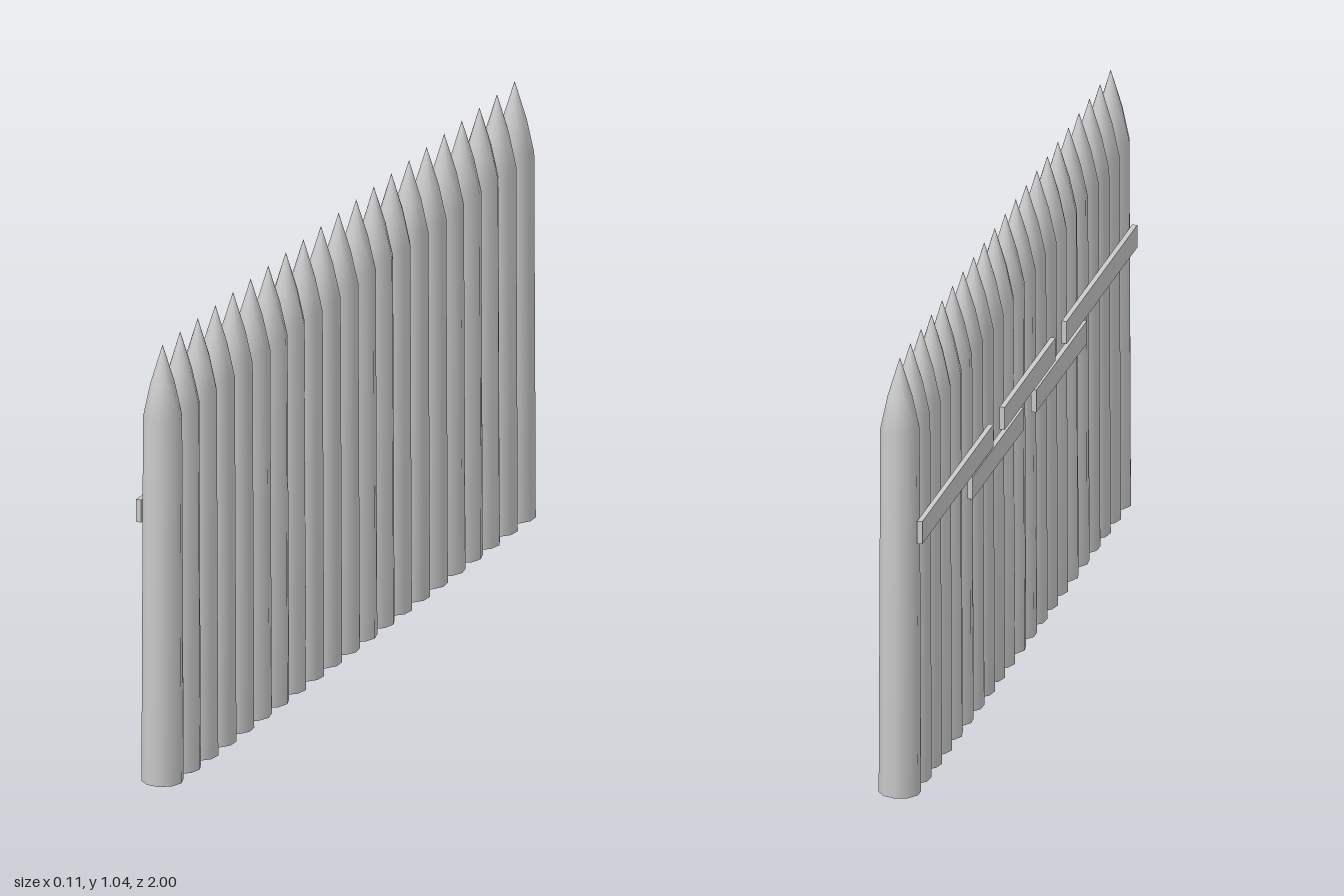
import * as THREE from 'three';

export function createModel() {
  const group = new THREE.Group();
  group.name = 'palisade';
  const material = new THREE.MeshStandardMaterial({ color: 0xcccccc });

  // Sharpened log: closed base, slight taper, gently convex point
  const profile = [
    [0, 0], [0.048, 0], [0.0445, 0.875], [0.0275, 0.955], [0, 1.045],
  ].map(([r, y]) => new THREE.Vector2(r, y));
  const stakeGeometry = new THREE.LatheGeometry(profile, 10);

  // Row of stakes, each turned a little differently
  const count = 21;
  const reach = 0.952;
  for (let i = 0; i < count; i++) {
    const stake = new THREE.Mesh(stakeGeometry, material);
    stake.name = `stake${i + 1}`;
    stake.position.set(0.003, 0, -reach + (2 * reach * i) / (count - 1));
    stake.rotation.y = i * 2.4;
    group.add(stake);
  }

  // Overlapping rails along the back: [start z, end z, centre y]
  const rails = [
    [-0.975, -0.33, 0.636],
    [-0.52, -0.06, 0.578],
    [-0.23, 0.23, 0.64],
    [0.055, 0.515, 0.578],
    [0.33, 0.968, 0.643],
  ];
  rails.forEach(([z0, z1, y], i) => {
    const rail = new THREE.Mesh(new THREE.BoxGeometry(0.012, 0.054, z1 - z0), material);
    rail.name = `rail${i + 1}`;
    rail.position.set(-0.049, y, (z0 + z1) / 2);
    group.add(rail);
  });

  return group;
}
